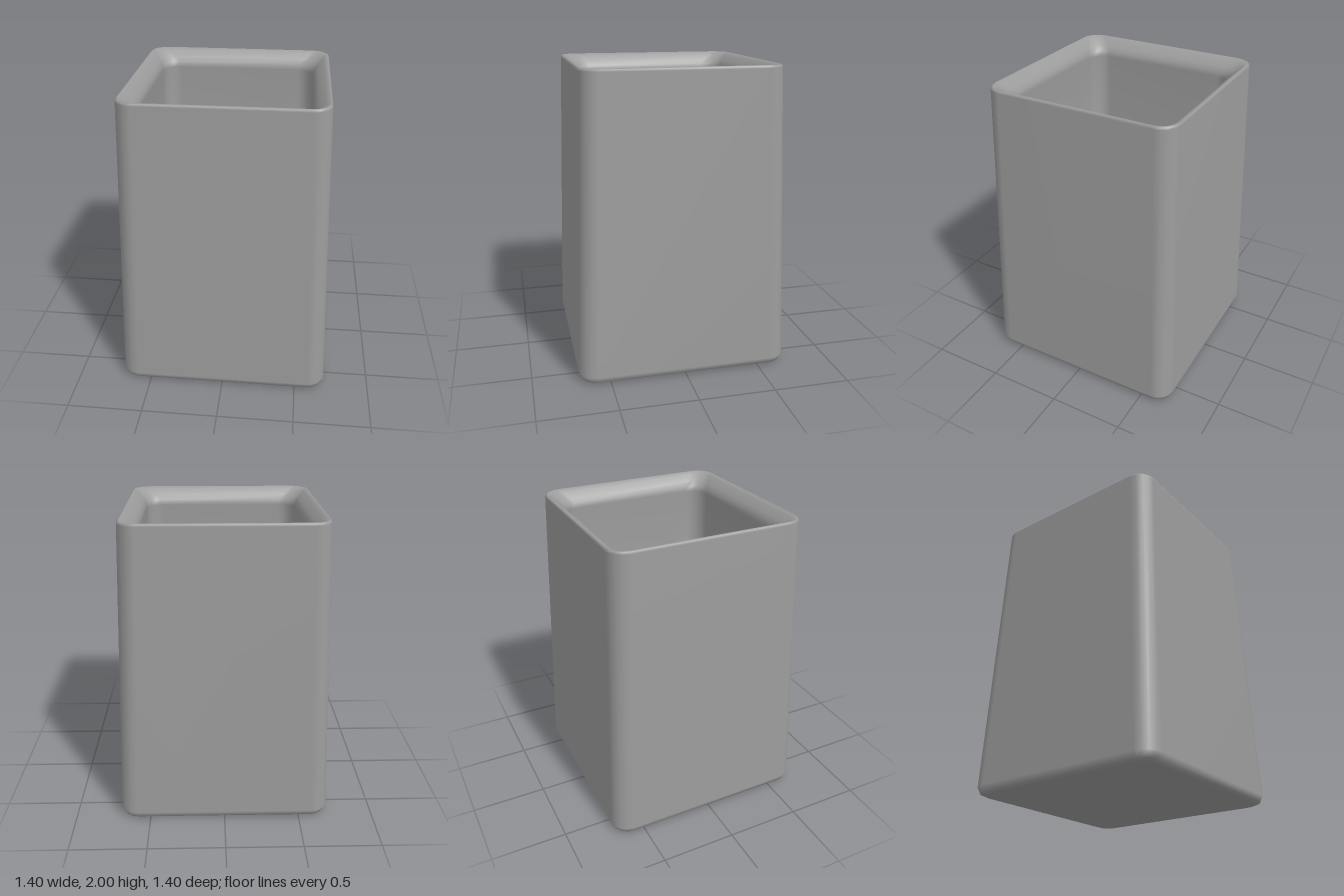
import * as THREE from 'three';

const CORNER_STEPS = 4;

// Rounded-square ring at height y, counter-clockwise seen from above.
function ring(half, radius, y) {
  const points = [];
  for (let q = 0; q < 4; q++) {
    const mid = (q + 0.5) * Math.PI / 2;
    const cx = Math.sign(Math.cos(mid)) * (half - radius);
    const cz = Math.sign(Math.sin(mid)) * (half - radius);
    for (let s = 0; s <= CORNER_STEPS; s++) {
      const a = (q + s / CORNER_STEPS) * Math.PI / 2;
      points.push(cx + radius * Math.cos(a), y, -(cz + radius * Math.sin(a)));
    }
  }
  return points;
}

// Skins the rings in order and closes the first and last with a fan.
function loft(sections) {
  const n = 4 * (CORNER_STEPS + 1);
  const positions = sections.flatMap(([half, radius, y]) => ring(half, radius, y));
  const index = [];
  const last = sections.length - 1;
  const bottom = sections.length * n;
  const floor = bottom + 1;
  positions.push(0, sections[0][2], 0, 0, sections[last][2], 0);
  for (let j = 0; j < n; j++) {
    const k = (j + 1) % n;
    for (let i = 0; i < last; i++) {
      const a = i * n + j, b = i * n + k;
      index.push(a, b, b + n, a, b + n, a + n);
    }
    index.push(bottom, k, j);
    index.push(floor, last * n + j, last * n + k);
  }
  const geometry = new THREE.BufferGeometry();
  geometry.setAttribute('position', new THREE.Float32BufferAttribute(positions, 3));
  geometry.setIndex(index);
  geometry.computeVertexNormals();
  return geometry;
}

export function createModel() {
  const group = new THREE.Group();
  group.name = 'taperedCup';

  // Half width, corner radius and height, from the base over the rim to the inner floor.
  const profile = [
    // rounded foot
    [0.652, 0.085, 0], [0.684, 0.105, 0.015], [0.7, 0.116, 0.055],
    // tapering outer wall up to a narrow rim
    [0.638, 0.113, 1.982], [0.634, 0.111, 1.995], [0.624, 0.106, 2],
    // sloping inner lip
    [0.6, 0.1, 1.985], [0.56, 0.105, 1.947], [0.54, 0.11, 1.915], [0.533, 0.112, 1.88],
    // inner wall and floor
    [0.588, 0.113, 0.1],
  ];
  const body = new THREE.Mesh(
    loft(profile),
    new THREE.MeshStandardMaterial({ color: 0x9c9c9c }),
  );
  body.name = 'cupBody';
  group.add(body);
  return group;
}
